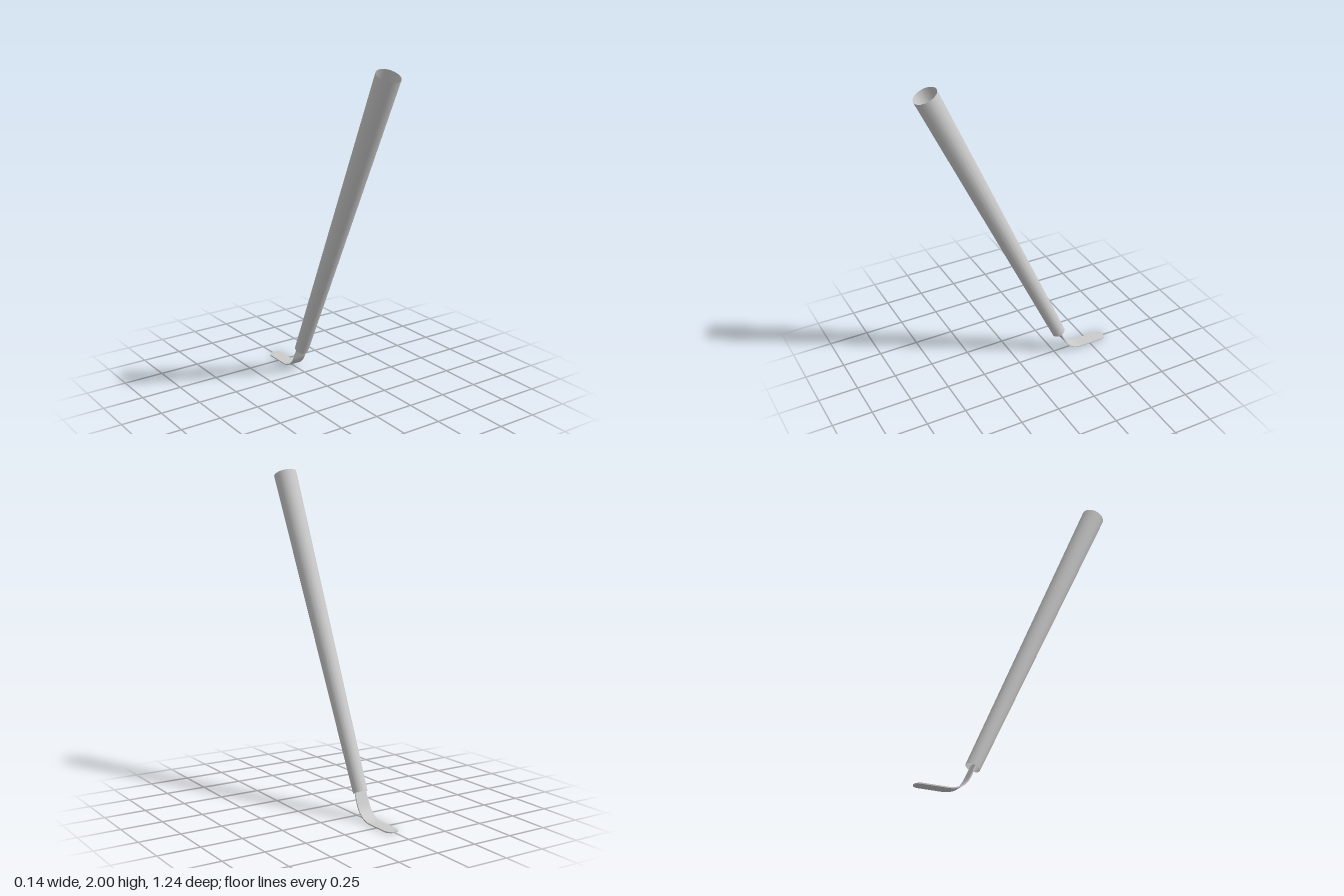
import * as THREE from 'three';

const material = new THREE.MeshStandardMaterial({ color: 0xcccccc, side: THREE.DoubleSide });

// Tapered hollow handle, open at both ends, leaning forward
function makeHandle() {
  const bottom = new THREE.Vector3(0, 0.148, -0.282);
  const top = new THREE.Vector3(0, 1.97, 0.555);
  const axis = top.clone().sub(bottom);
  const geometry = new THREE.CylinderGeometry(0.071, 0.043, axis.length(), 16, 1, true);
  const handle = new THREE.Mesh(geometry, material);
  handle.name = 'handle';
  handle.position.copy(bottom).add(top).multiplyScalar(0.5);
  handle.quaternion.setFromUnitVectors(new THREE.Vector3(0, 1, 0), axis.normalize());
  return handle;
}

// Thin strip that leaves the handle, bends flat and ends in a round tip
function makeBlade() {
  const halfWidth = 0.041, thickness = 0.007, ground = 0.0045;
  const point = (y, z) => new THREE.Vector3(0, y, z);
  const path = new THREE.CurvePath();
  path.add(new THREE.LineCurve3(point(0.17, -0.272), point(0.09, -0.309)));
  path.add(new THREE.QuadraticBezierCurve3(point(0.09, -0.309), point(ground, -0.348), point(ground, -0.44)));
  path.add(new THREE.LineCurve3(point(ground, -0.44), point(ground, -0.622)));

  const length = path.getLength(), straight = length - halfWidth;
  const geometry = new THREE.BoxGeometry(1, 1, 1, 2, 1, 40);
  const pos = geometry.attributes.position;
  for (let i = 0; i < pos.count; i++) {
    const u = 0.5 - pos.getZ(i);
    let s, w;
    if (u <= 0.75) {
      // body of the strip, slightly narrower inside the handle
      s = (u / 0.75) * straight;
      w = halfWidth * (0.88 + 0.12 * THREE.MathUtils.smoothstep(s, 0, 0.09));
    } else {
      // round tip
      const a = ((u - 0.75) / 0.25) * Math.PI / 2;
      s = straight + halfWidth * Math.sin(a);
      w = Math.max(halfWidth * Math.cos(a), 0.002);
    }
    const t = Math.min(s / length, 1);
    const p = path.getPoint(t), d = path.getTangent(t);
    const h = pos.getY(i) * thickness;
    pos.setXYZ(i, pos.getX(i) * 2 * w, p.y - d.z * h, p.z + d.y * h);
  }
  geometry.computeVertexNormals();
  const blade = new THREE.Mesh(geometry, material);
  blade.name = 'blade';
  return blade;
}

export function createModel() {
  const model = new THREE.Group();
  model.name = 'longHandledScraper';
  model.add(makeHandle(), makeBlade());
  return model;
}
